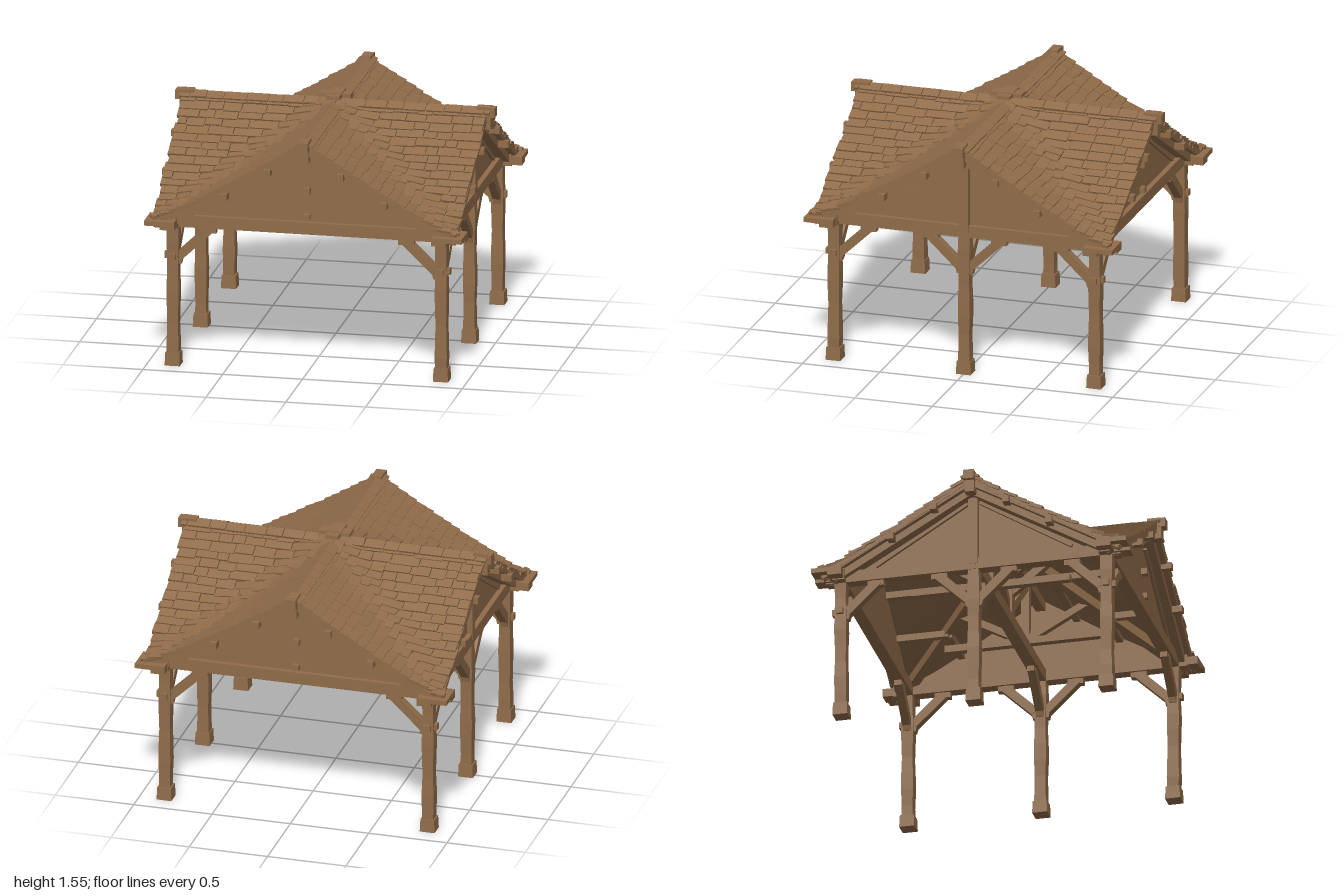
import * as THREE from 'three';
import { mergeGeometries } from 'three/addons/utils/BufferGeometryUtils.js';

const V = (x, y, z) => new THREE.Vector3(x, y, z);

// Small seeded generator for the hand-cut irregularity
let seed = 7;
const rand = (a = 0, b = 1) => {
  seed = (seed * 16807) % 2147483647;
  return a + (b - a) * (seed / 2147483647);
};

// Roof height: two crossing gables with softened valleys
function roofY(x, z) {
  const a = Math.abs(x), b = Math.abs(z), k = 0.2;
  const h = Math.max(k - Math.abs(a - b), 0) / k;
  const m = Math.min(a, b) - h * h * k / 4;
  return 1.488 - 0.64 * m + 0.06 * m * m;
}

export function createModel() {
  const wood = new THREE.MeshStandardMaterial({ color: 0x906c4a, flatShading: true });
  wood.name = 'brown wood';
  const model = new THREE.Group();
  model.name = 'pavilion';

  const add = (name, geos) => {
    const mesh = new THREE.Mesh(Array.isArray(geos) ? mergeGeometries(geos) : geos, wood);
    mesh.name = name;
    model.add(mesh);
    return mesh;
  };
  const box = (w, h, d, x, y, z) => new THREE.BoxGeometry(w, h, d).translate(x, y, z);

  // Timber running from point a to point b
  const beam = (a, b, w, h) => {
    const o = new THREE.Object3D();
    o.position.copy(a).lerp(b, 0.5);
    o.lookAt(b);
    o.updateMatrix();
    return new THREE.BoxGeometry(w, h, a.distanceTo(b)).applyMatrix4(o.matrix);
  };
  // Knee brace with blunt feet, from a post to a beam
  const brace = (x, z, dx, dz) => {
    const p = (d, y) => V(x + dx * d, y, z + dz * d);
    return [
      beam(p(0.035, 0.695), p(0.235, 0.885), 0.05, 0.055),
      beam(p(0.03, 0.65), p(0.05, 0.73), 0.045, 0.04),
      beam(p(0.17, 0.875), p(0.27, 0.875), 0.045, 0.04),
    ];
  };

  // Posts: slightly worn shafts on square feet
  for (const x of [-0.84, 0.84]) for (const z of [-0.84, 0, 0.84]) {
    const shaft = new THREE.BoxGeometry(0.072, 0.86, 0.072, 1, 8, 1);
    const p = shaft.attributes.position;
    for (let i = 0; i < p.count; i++) {
      const s = 1 + 0.07 * Math.sin(p.getY(i) * 17 + x * 3 + z * 5);
      p.setX(i, p.getX(i) * s);
      p.setZ(i, p.getZ(i) * s);
    }
    add('post', shaft.translate(x, 0.47, z));
    const foot = new THREE.CylinderGeometry(0.062, 0.067, 0.082, 4).rotateY(Math.PI / 4);
    add('postFoot', foot.translate(x, 0.041, z));

    const sx = Math.sign(x);
    const parts = [...brace(x, z, -sx, 0)];
    if (z !== -0.84) parts.push(...brace(x, z, 0, -1));
    if (z !== 0.84) parts.push(...brace(x, z, 0, 1));
    add('kneeBraces', parts);

    // Wooden pegs and rough eave pads on the corner posts
    if (z !== 0) {
      const sz = Math.sign(z);
      add('postPegs', [
        box(0.1, 0.04, 0.04, x + sx * 0.005, 0.7, z),
        box(0.04, 0.04, 0.1, x, 0.7, z + sz * 0.005),
      ]);
      add('eavePad', [
        box(0.19, 0.03, 0.19, sx * 0.9, 0.935, sz * 0.9),
        box(0.15, 0.045, 0.09, sx * 0.92, 0.92, sz * 0.85),
        box(0.09, 0.045, 0.15, sx * 0.85, 0.92, sz * 0.92),
      ]);
    }
  }

  // Perimeter beams, centre tie beam and ridge beams
  const frame = [];
  for (const s of [-0.84, 0.84]) {
    frame.push(box(1.86, 0.075, 0.075, 0, 0.927, s), box(0.075, 0.075, 1.86, s, 0.927, 0));
  }
  add('perimeterBeams', frame);
  add('tieBeam', box(1.68, 0.075, 0.075, 0, 0.927, 0));
  add('ridgeBeams', [box(1.9, 0.1, 0.06, 0, 1.42, 0), box(0.06, 0.1, 1.9, 0, 1.42, 0)]);

  // Inner roof truss: king post, struts, valley rafters
  const truss = [box(0.07, 0.52, 0.07, 0, 1.18, 0)];
  for (const s of [-1, 1]) {
    truss.push(beam(V(0, 1, 0), V(s * 0.45, 1.38, 0), 0.045, 0.05));
    truss.push(beam(V(0, 1.1, 0), V(0, 1.38, s * 0.35), 0.045, 0.05));
    truss.push(beam(V(s * 0.45, 0.95, 0), V(s * 0.45, 1.4, 0), 0.045, 0.05));
    truss.push(beam(V(s * 0.42, 0.98, -0.5), V(s * 0.42, 0.98, 0.5), 0.045, 0.045));
    for (const t of [-1, 1]) {
      truss.push(beam(V(s * 0.04, 1.42, t * 0.04), V(s * 0.85, 0.945, t * 0.85), 0.06, 0.06));
      truss.push(beam(V(s * 0.42, 0.98, 0), V(s * 0.42, 1.2, t * 0.4), 0.04, 0.045));
    }
  }
  add('innerTruss', truss);

  // Four gable ends
  for (let k = 0; k < 4; k++) {
    const turn = k * Math.PI / 2;
    const side = k % 2 === 1;
    const place = (name, geos) => { add(name, geos).rotation.y = turn; };

    const tri = new THREE.Shape([[-0.82, 0.93], [0.82, 0.93], [0, 1.45]].map(([x, y]) => new THREE.Vector2(x, y)));
    const panel = new THREE.ExtrudeGeometry(tri, { depth: 0.02, bevelEnabled: false });
    place('gablePanel', panel.translate(0, 0, 0.825));

    const rafters = [], purlins = [], edges = [];
    for (const s of [-1, 1]) {
      rafters.push(beam(V(0, 1.415, 0.88), V(s * 0.88, 0.91, 0.88), 0.07, 0.065));
      rafters.push(beam(V(0, 1.445, 0.925), V(s * 0.94, 0.91, 0.925), 0.045, 0.035));
      for (const [x, y] of [[0.23, 1.295], [0.5, 1.125]]) {
        purlins.push(box(0.042, 0.042, 0.98 - x, s * x, y, (0.98 + x) / 2));
      }
      edges.push(beam(V(s * 0.62, 0.985, 0.855), V(s * 0.04, 1.34, 0.855), 0.02, 0.02));
    }
    place('gableRafters', rafters);
    place('purlins', purlins);
    place('panelTrim', edges);

    // Tapered ridge end block
    place('ridgeEnd', [
      box(0.062, 0.14, 0.09, 0, 1.44, 0.93),
      box(0.066, 0.06, 0.06, 0, 1.477, 0.97),
    ]);

    // King post on the side gables, pegs on the front and back
    if (side) place('gablePost', box(0.06, 0.47, 0.06, 0, 1.16, 0.85));
    else place('gablePegs', [box(0.04, 0.04, 0.05, 0, 1.165, 0.86), box(0.04, 0.035, 0.03, 0, 1.0, 0.87)]);

    // Ridge caps
    const caps = [];
    for (let z = 0.1; z < 0.95;) {
      const len = Math.min(rand(0.09, 0.15), 0.975 - z);
      const y = roofY(0, z + len / 2) + rand(0.006, 0.011);
      for (const s of [-1, 1]) {
        caps.push(new THREE.BoxGeometry(0.065, 0.016, len - 0.006).rotateZ(-s * 0.42).translate(s * 0.027, y - 0.01, z + len / 2));
      }
      z += len;
    }
    place('ridgeCaps', caps);

    // Uneven shingle courses, following the roof surface down each slope
    const shingles = [];
    const pitch = 0.056, e = 0.004;
    for (const s of [-1, 1]) for (let row = 0; row < 17; row++) {
      const t = 0.03 + row * pitch;
      for (let z = t - 0.01; z < 0.945;) {
        let len = rand(0.07, 0.19);
        if (z + len > 0.9) len = 0.955 + rand(-0.008, 0.008) - z;
        const x = s * (t + rand(-0.007, 0.007)), zc = z + len / 2;
        const hx = (roofY(x + e, zc) - roofY(x - e, zc)) / (2 * e);
        const hz = (roofY(x, zc + e) - roofY(x, zc - e)) / (2 * e);
        const up = V(-hx, 1, -hz).normalize();
        const along = V(0, hz, 1).normalize();
        const down = new THREE.Vector3().crossVectors(up, along).normalize();
        const m = new THREE.Matrix4().makeBasis(down, up, along).setPosition(x, roofY(x, zc) + 0.002, zc);
        const g = new THREE.BoxGeometry(0.085, rand(0.016, 0.024), Math.max(len - 0.005, 0.01));
        shingles.push(g.rotateZ(s * 0.13).applyMatrix4(m));
        z += len;
      }
    }
    place('shingles', shingles);
  }

  // Roof deck bent to the crossing gables
  const deck = new THREE.BoxGeometry(1.9, 0.03, 1.9, 38, 1, 38);
  const dp = deck.attributes.position;
  for (let i = 0; i < dp.count; i++) {
    dp.setY(i, dp.getY(i) + roofY(dp.getX(i), dp.getZ(i)) - 0.022);
  }
  add('roofDeck', deck);

  // Raised cross cap where the ridges meet
  add('crossCap', [
    box(0.2, 0.022, 0.085, 0, 1.533, 0),
    box(0.085, 0.024, 0.2, 0, 1.533, 0),
    box(0.09, 0.03, 0.09, 0, 1.535, 0),
  ]);

  return model;
}
